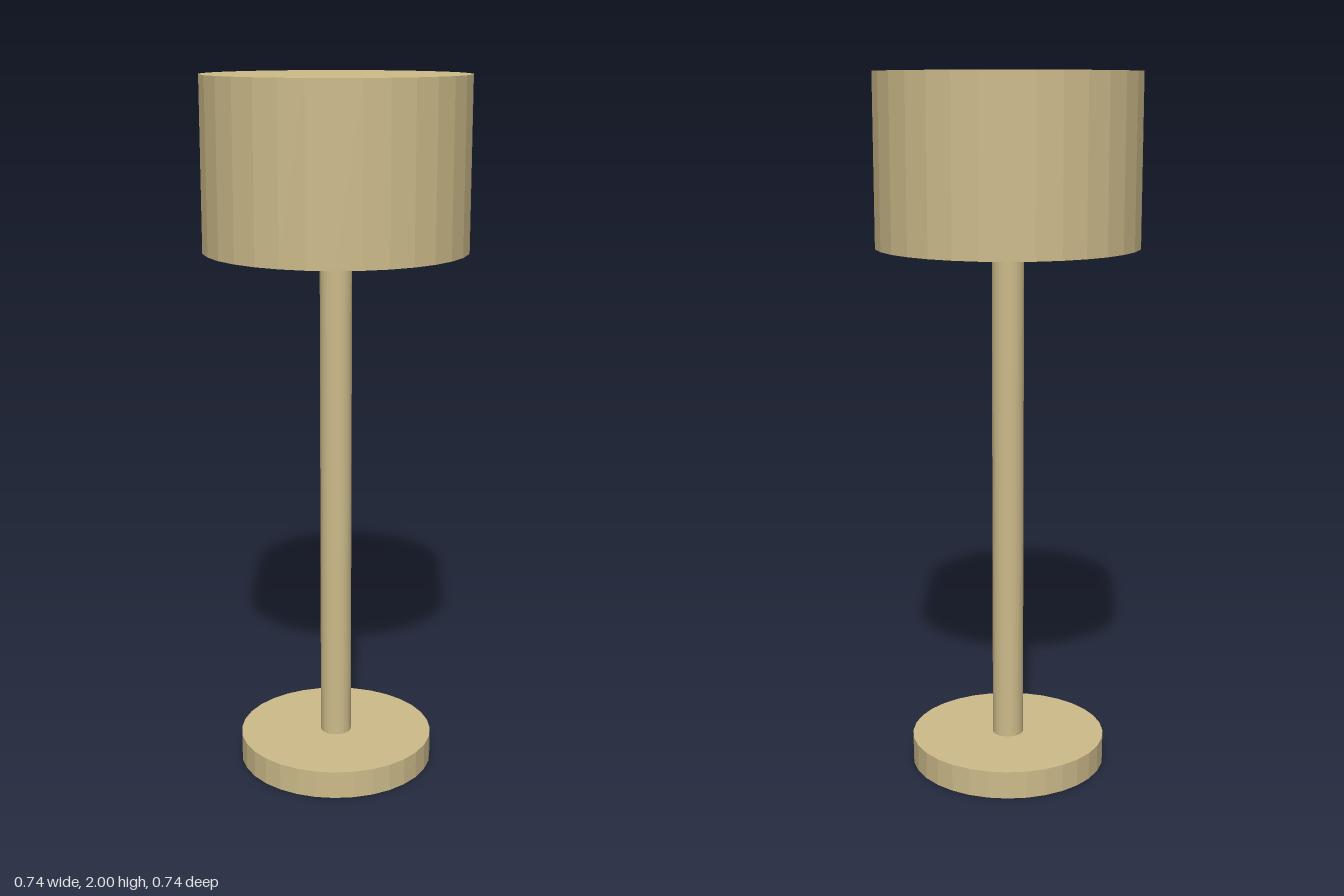
import * as THREE from 'three';

export function createModel() {
  const model = new THREE.Group();
  model.name = 'tableLamp';

  const sand = new THREE.MeshStandardMaterial({ color: 0xcdbb8a });
  sand.name = 'sand';
  sand.flatShading = true;

  // Upright cylinder spanning bottom to top
  function addDisc(name, radius, bottom, top) {
    const geometry = new THREE.CylinderGeometry(radius, radius, top - bottom, 32);
    const mesh = new THREE.Mesh(geometry, sand);
    mesh.name = name;
    mesh.position.y = (bottom + top) / 2;
    model.add(mesh);
  }

  addDisc('base', 0.283, 0, 0.08);
  addDisc('pole', 0.045, 0.08, 1.525);
  addDisc('shade', 0.37, 1.525, 2);

  return model;
}
